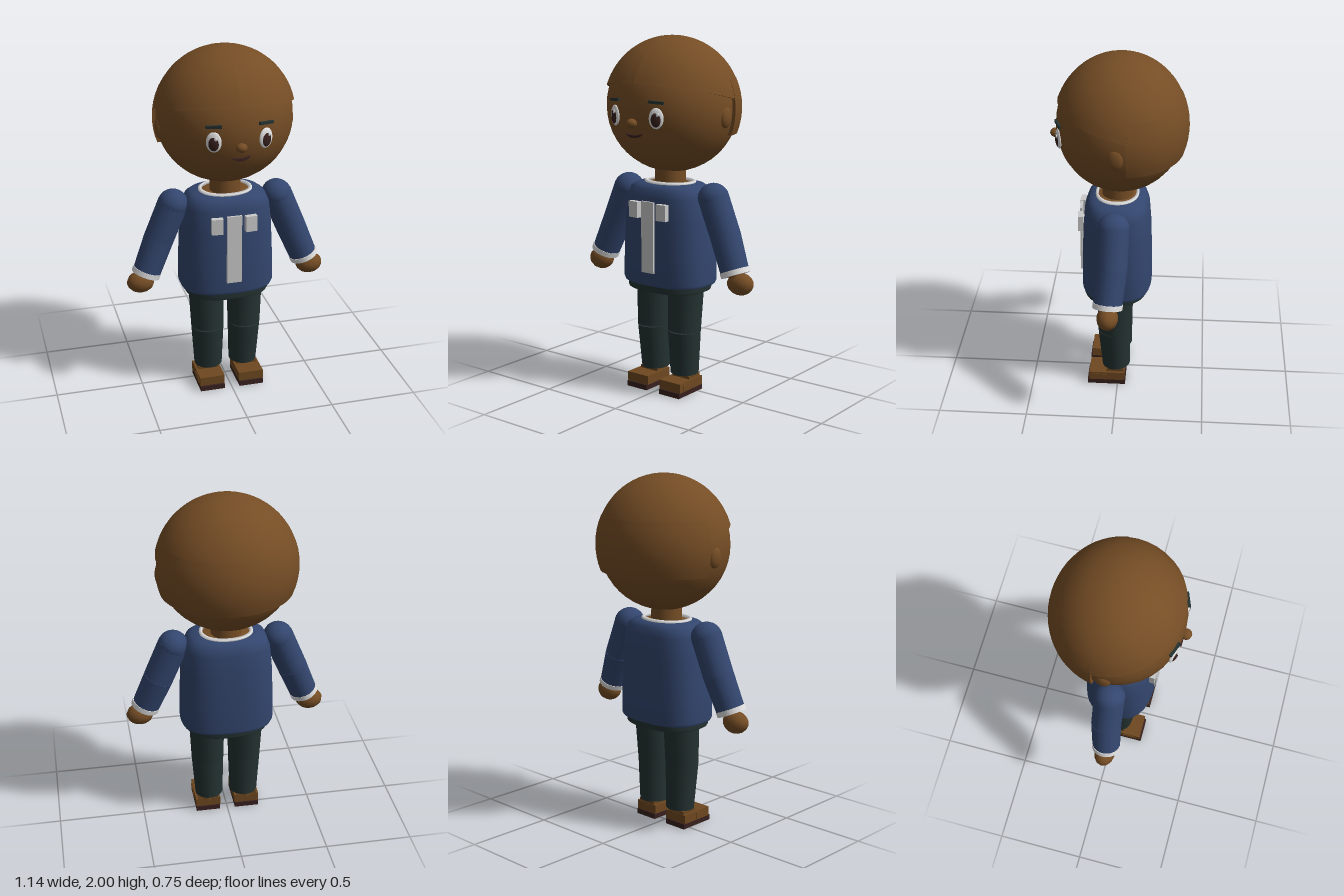
import * as THREE from 'three';
import { mergeVertices } from 'three/addons/utils/BufferGeometryUtils.js';
import { ParametricGeometry } from 'three/addons/geometries/ParametricGeometry.js';

const mat = (name, color, side = THREE.FrontSide) => {
  const m = new THREE.MeshStandardMaterial({ color, side });
  m.name = name;
  return m;
};

export function createModel() {
  const model = new THREE.Group();
  model.name = 'figure';
  const brown = mat('brown skin and hair', 0x754d25, THREE.DoubleSide);
  const navy = mat('navy cloth', 0x33466e, THREE.DoubleSide);
  const pants = mat('dark green cloth', 0x243231, THREE.DoubleSide);
  const white = mat('white trim', 0xe2e2e2);
  const grey = mat('pale grey panel', 0xcacaca);
  const dark = mat('dark maroon', 0x38211f);
  const shoe = mat('brown shoe', 0x6e4820);

  const add = (name, geo, material, pos = [0, 0, 0], parent = model) => {
    const mesh = new THREE.Mesh(geo, material);
    mesh.name = name;
    mesh.position.set(...pos);
    parent.add(mesh);
    return mesh;
  };
  const ellipsoid = (rx, ry, rz, w = 28, h = 20) =>
    new THREE.SphereGeometry(1, w, h).scale(rx, ry, rz);
  const box = (x, y, z) => new THREE.BoxGeometry(x, y, z);

  // Tapered limb between two points
  const limb = (name, material, a, b, ra, rb) => {
    const A = new THREE.Vector3(...a), B = new THREE.Vector3(...b);
    const d = A.clone().sub(B);
    const mesh = add(name, new THREE.CylinderGeometry(ra, rb, d.length(), 18), material);
    mesh.position.copy(A).add(B).multiplyScalar(0.5);
    mesh.quaternion.setFromUnitVectors(new THREE.Vector3(0, 1, 0), d.normalize());
  };

  // Lathe squared off to a superellipse and flattened in z
  const body = (profile, n, zScale) => {
    let g = new THREE.LatheGeometry(profile.map(([r, y]) => new THREE.Vector2(r, y)), 40);
    const p = g.attributes.position;
    for (let i = 0; i < p.count; i++) {
      const x = p.getX(i), z = p.getZ(i), r = Math.hypot(x, z);
      if (r < 1e-6) continue; // points on the axis stay put
      const k = (Math.abs(x / r) ** n + Math.abs(z / r) ** n) ** (-1 / n);
      p.setXYZ(i, x * k, p.getY(i), z * k * zScale);
    }
    g.deleteAttribute('uv');
    g.deleteAttribute('normal');
    g = mergeVertices(g);
    g.computeVertexNormals();
    return g;
  };

  // Head and neck
  add('head', ellipsoid(0.375, 0.365, 0.35, 32, 24), brown, [0, 1.615, -0.01]);
  add('neck', new THREE.CylinderGeometry(0.085, 0.088, 0.14, 20), brown, [0, 1.22, 0.008]);
  add('nose', ellipsoid(0.031, 0.025, 0.03, 14, 10), brown, [0, 1.548, 0.345]);

  // Hair surfaces share one ellipsoid; each gets a rim turned in to the head
  const C = new THREE.Vector3(0, 1.61, -0.01), R = [0.39, 0.39, 0.365];
  const surface = (name, fn, w, h) => {
    const g = new ParametricGeometry(fn, w, h);
    g.computeVertexNormals();
    add(name, g, brown);
  };
  const cap = (u, v, t) => {
    const phi = u * Math.PI * 2;
    const b = 0.223 * R[2] * Math.cos(phi);
    const limit = Math.acos(0.0708 / Math.hypot(R[1], b)) - Math.atan2(b, R[1]);
    const th = v * limit;
    t.set(R[0] * Math.sin(th) * Math.sin(phi), R[1] * Math.cos(th),
      R[2] * Math.sin(th) * Math.cos(phi)).add(C);
  };
  const back = (u, v, t) => {
    const y = 1.77 - 0.3 * v;
    const k = 1.004 * Math.sqrt(1 - ((y - C.y) / R[1]) ** 2);
    const start = Math.asin(0.05 / (R[2] * k));
    const a = start + u * (Math.PI - 2 * start);
    t.set(R[0] * k * Math.cos(a), y, C.z - R[2] * k * Math.sin(a));
  };
  const rim = edge => (u, v, t) => {
    edge(u, t);
    const s = 1 - 0.09 * v;
    t.set(t.x * s, t.y, C.z + (t.z - C.z) * s);
  };
  surface('hairCap', cap, 40, 16);
  surface('hairCapRim', rim((u, t) => cap(u, 1, t)), 40, 1);
  surface('hairBack', back, 28, 8);
  surface('hairBackRim', rim((u, t) => back(u, 1, t)), 28, 1);
  for (const end of [0, 1])
    surface('hairSideRim', rim((u, t) => back(end, u, t)), 8, 1);

  // Ears, eyes and brows
  for (const s of [1, -1]) {
    add('ear', ellipsoid(0.025, 0.06, 0.044, 14, 12), brown, [s * 0.362, 1.575, -0.002]);
    const eye = new THREE.Group();
    eye.name = 'eye';
    eye.position.set(s * 0.14, 1.58, 0.312);
    eye.rotation.y = s * 0.36;
    model.add(eye);
    add('eyeWhite', ellipsoid(0.041, 0.056, 0.014), white, [0, 0, 0], eye);
    add('iris', ellipsoid(0.032, 0.044, 0.016), dark, [0, -0.005, 0.002], eye);
    add('eyeGlint', ellipsoid(0.009, 0.011, 0.004, 10, 8), white, [0.012, 0.022, 0.016], eye);
    const brow = add('brow', box(0.085, 0.015, 0.02), pants, [s * 0.14, 1.664, 0.312]);
    brow.rotation.set(0, s * 0.36, s * -0.06);
  }

  // Mouth: thin smiling crescent
  const lips = new THREE.Shape();
  lips.moveTo(-0.053, 0.012);
  lips.quadraticCurveTo(0, -0.034, 0.053, 0.012);
  lips.quadraticCurveTo(0, -0.004, -0.053, 0.012);
  add('mouth', new THREE.ExtrudeGeometry(lips, { depth: 0.03, bevelEnabled: false }), dark,
    [0, 1.479, 0.304]);

  // Shirt, neckline and collar
  add('shirt', body([[0.258, 0.628], [0.266, 0.645], [0.264, 0.8], [0.255, 1.0],
    [0.242, 1.12], [0.222, 1.165], [0.19, 1.187], [0.145, 1.193]], 2.7, 0.74), navy, [0, 0, 0.01]);
  add('chest', body([[0.15, 1.17], [0.145, 1.188], [0, 1.192]], 2.2, 0.78), brown, [0, 0, 0.01]);
  add('collar', body([[0.13, 1.185], [0.152, 1.185], [0.15, 1.2], [0.134, 1.205], [0.13, 1.185]],
    2.2, 0.8), white, [0, 0, 0.01]);

  // Shirt panels
  add('centrePanel', box(0.084, 0.4, 0.012), grey, [0, 0.906, 0.212]);
  for (const s of [1, -1]) {
    const panel = add('sidePanel', box(0.064, 0.09, 0.03), grey, [s * 0.095, 1.054, 0.208]);
    panel.rotation.y = s * 0.08;
  }

  // Waistband and hips
  add('waistband', body([[0.236, 0.592], [0.24, 0.6], [0.24, 0.66]], 2.5, 0.77), pants, [0, 0, 0.015]);
  add('hips', body([[0, 0.6], [0.225, 0.605], [0.23, 0.65], [0, 0.66]], 2.5, 0.77), brown, [0, 0, 0.015]);

  for (const s of [1, -1]) {
    // Sleeve, cuff and hand
    const shoulder = [s * 0.298, 1.132, 0.012], elbow = [s * 0.383, 0.93, 0.015];
    const wrist = [s * 0.46, 0.742, 0.033];
    add('shoulder', ellipsoid(0.085, 0.082, 0.088, 18, 14), navy, shoulder);
    limb('upperSleeve', navy, shoulder, elbow, 0.086, 0.085);
    add('elbow', ellipsoid(0.083, 0.083, 0.083, 18, 12), navy, elbow);
    limb('lowerSleeve', navy, elbow, wrist, 0.085, 0.079);
    limb('cuff', white, [s * 0.455, 0.756, 0.032], [s * 0.466, 0.729, 0.034], 0.083, 0.082);
    limb('wrist', brown, wrist, [s * 0.485, 0.69, 0.035], 0.045, 0.04);
    add('hand', ellipsoid(0.078, 0.062, 0.06, 12, 9), brown, [s * 0.495, 0.685, 0.032]);

    // Trouser leg and ankle
    const hip = [s * 0.113, 0.625, 0.012], knee = [s * 0.109, 0.355, 0.022];
    const hem = [s * 0.104, 0.103, 0.012];
    limb('upperLeg', pants, hip, knee, 0.103, 0.094);
    limb('lowerLeg', pants, knee, hem, 0.094, 0.081);
    add('ankle', new THREE.CylinderGeometry(0.055, 0.055, 0.06, 14), brown, [s * 0.115, 0.095, 0.012]);

    // Shoe
    add('sole', box(0.142, 0.03, 0.22), dark, [s * 0.116, 0.015, 0.065]);
    add('shoeUpper', box(0.146, 0.052, 0.204), shoe, [s * 0.116, 0.056, 0.063]);
    add('shoeHeel', box(0.118, 0.02, 0.1), shoe, [s * 0.116, 0.09, 0.014]);
    add('shoeSidePatch', box(0.006, 0.034, 0.08), shoe, [s * 0.19, 0.053, 0.1]);
  }
  return model;
}
